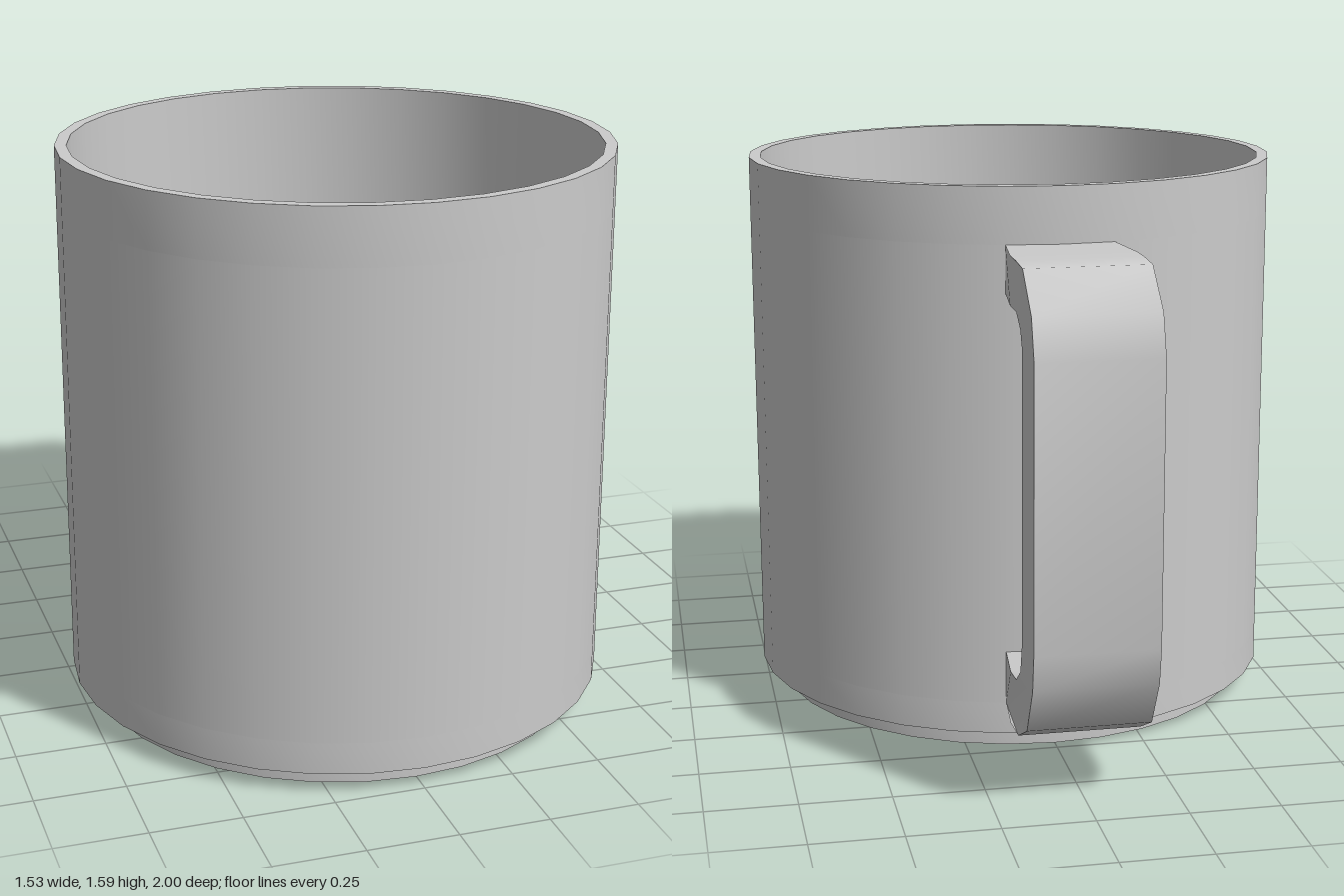
import * as THREE from 'three';
import { toCreasedNormals } from 'three/addons/utils/BufferGeometryUtils.js';

const SIDES = 32, STEP = (Math.PI * 2) / SIDES;
const RADIUS = 0.765, INNER = 0.732, CENTRE_Z = 0.235;
const PANEL_LOW = 0.15, PANEL_HIGH = 1.435;

export function createModel() {
  const model = new THREE.Group();
  const grey = new THREE.MeshStandardMaterial({ color: 0xcccccc });

  const add = (name, geometry, z = 0) => {
    const mesh = new THREE.Mesh(geometry, grey);
    mesh.name = name;
    mesh.position.z = z;
    model.add(mesh);
  };
  const turned = (name, profile) => {
    const points = profile.map(([r, y]) => new THREE.Vector2(r, y));
    add(name, toCreasedNormals(new THREE.LatheGeometry(points, SIDES), 0.5), CENTRE_Z);
  };
  // Open piece of the outer wall, spanning a number of facets
  const wall = (name, firstFacet, facets) => {
    const height = PANEL_HIGH - PANEL_LOW;
    const geometry = new THREE.CylinderGeometry(
      RADIUS, RADIUS, height, facets, 1, true, firstFacet * STEP, facets * STEP);
    geometry.translate(0, PANEL_LOW + height / 2, 0);
    add(name, geometry, CENTRE_Z);
  };

  // Slightly hollow underside, stepped foot and lower band
  turned('footAndLowerBand', [
    [0, 0.012], [0.35, 0.012], [0.7, 0], [0.7, 0.06], [RADIUS, 0.06], [RADIUS, PANEL_LOW],
  ]);

  // Wrap-around panel and the strip behind the handle
  wall('wrapPanel', -13, 26);
  wall('backStrip', 13, 6);

  // Upper band, rim, inner wall and floor
  turned('upperBandAndInside', [
    [RADIUS, PANEL_HIGH], [RADIUS, 1.59], [INNER, 1.59], [INNER, 0.1], [0, 0.1],
  ]);

  // Handle outline as [z, y], outer edge from the top and back along the inner edge
  const outline = [
    [-0.51, 1.435], [-0.68, 1.435], [-0.76, 1.435], [-0.85, 1.43], [-0.965, 1.33], [-1, 1.22],
    [-1, 0.46], [-0.985, 0.36], [-0.91, 0.225], [-0.79, 0.165], [-0.68, 0.158], [-0.51, 0.15],
    [-0.51, 0.3], [-0.68, 0.305], [-0.76, 0.312], [-0.82, 0.355], [-0.845, 0.45],
    [-0.845, 1.22], [-0.82, 1.27], [-0.765, 1.305], [-0.68, 1.305], [-0.51, 1.305],
  ].map(([z, y]) => new THREE.Vector2(z, y));
  const handle = new THREE.ExtrudeGeometry(new THREE.Shape(outline), { depth: 2, bevelEnabled: false });
  handle.translate(0, 0, -1);
  handle.rotateY(-Math.PI / 2);

  // Narrow the handle a little towards the wall
  const position = handle.attributes.position;
  for (let i = 0; i < position.count; i++) {
    const t = THREE.MathUtils.clamp((-0.51 - position.getZ(i)) / 0.17, 0, 1);
    position.setX(i, position.getX(i) * THREE.MathUtils.lerp(0.148, 0.167, t));
  }
  add('handle', toCreasedNormals(handle, 0.7));

  return model;
}
